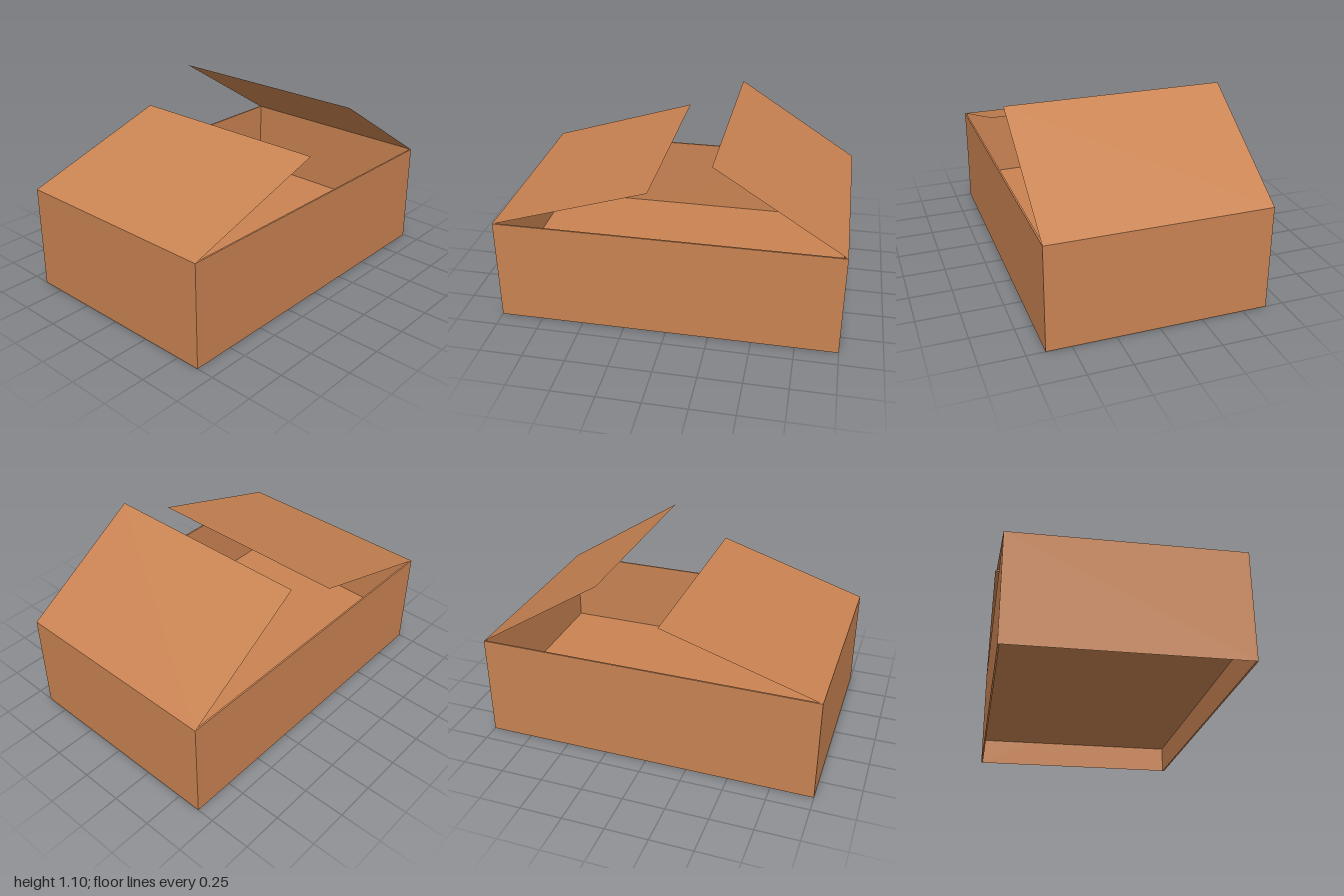
import * as THREE from 'three';

const W = 1, D = 0.645, H = 0.625, T = 0.01; // half width, half depth, wall height, board
const FLOOR_Y = 0.16;

export function createModel() {
  const model = new THREE.Group();
  model.name = 'openCardboardBox';

  const cardboard = new THREE.MeshStandardMaterial({ color: 0xc98352, side: THREE.DoubleSide });
  cardboard.name = 'cardboard';

  const add = (name, geometry, x = 0, y = 0, z = 0) => {
    const mesh = new THREE.Mesh(geometry, cardboard);
    mesh.name = name;
    mesh.position.set(x, y, z);
    model.add(mesh);
    return mesh;
  };

  // Thin sheet spanning the box depth between two points of the front profile
  const sheet = (name, [x0, y0], [x1, y1], depth = D) => {
    const length = Math.hypot(x1 - x0, y1 - y0);
    const geometry = new THREE.PlaneGeometry(length, depth * 2).rotateX(-Math.PI / 2);
    const mesh = add(name, geometry, (x0 + x1) / 2, (y0 + y1) / 2, 0);
    mesh.rotation.z = Math.atan2(y1 - y0, x1 - x0);
  };

  // Front and back walls with a thin top lip
  for (const [name, s] of [['frontWall', 1], ['backWall', -1]]) {
    add(name, new THREE.BoxGeometry(W * 2, H, T), 0, H / 2, s * (D - T / 2));
  }

  // Side walls, each continuing into its flap
  sheet('rightWall', [-W, 0], [-W, H]);
  sheet('leftWall', [W, H], [W, 0]);

  // Raised floor, open underneath
  sheet('floor', [-W, FLOOR_Y], [W, FLOOR_Y], D - T);

  // Half-open lid flaps: a shallow one and a steeper one
  sheet('rightFlap', [-W, H], [-0.09, 0.91]);
  sheet('leftFlap', [0.26, 1.1], [W, H]);

  return model;
}
